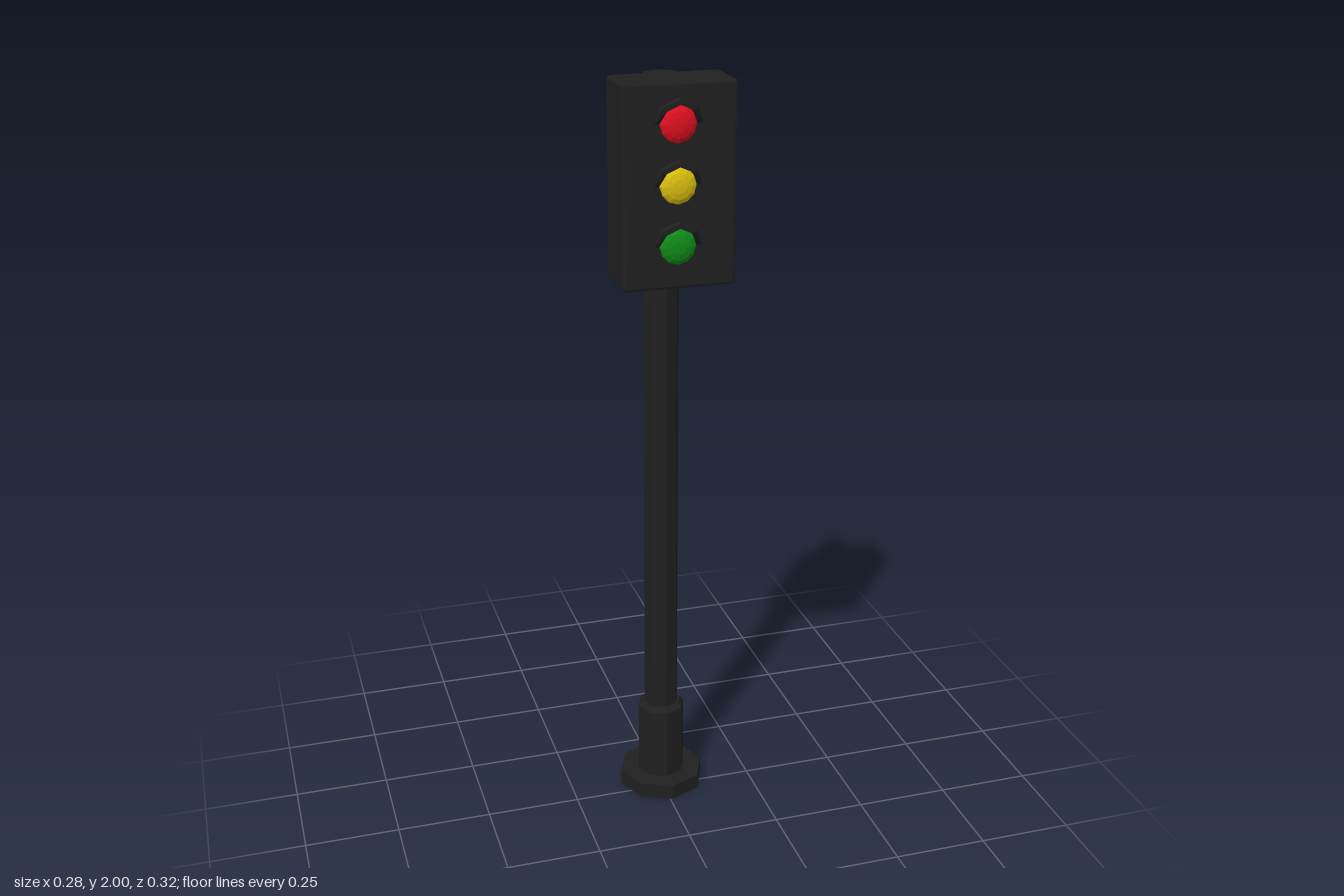
import * as THREE from 'three';
import { RoundedBoxGeometry } from 'three/addons/geometries/RoundedBoxGeometry.js';

const paint = (color) => new THREE.MeshStandardMaterial({ color, flatShading: true });

export function createModel() {
  const model = new THREE.Group();
  const black = paint(0x202020);

  const add = (name, geometry, material, x, y, z) => {
    const mesh = new THREE.Mesh(geometry, material);
    mesh.name = name;
    mesh.position.set(x, y, z);
    model.add(mesh);
    return mesh;
  };

  // Octagonal post parts share one axis
  const postPart = (name, y0, y1, bottomRadius, topRadius = bottomRadius) =>
    add(name, new THREE.CylinderGeometry(topRadius, bottomRadius, y1 - y0, 8),
      black, 0.007, (y0 + y1) / 2, -0.045);

  postPart('basePlate', 0, 0.042, 0.117);
  postPart('sleeve', 0.042, 0.245, 0.065);
  postPart('sleeveCollar', 0.245, 0.257, 0.065, 0.054);
  postPart('pole', 0.257, 1.99, 0.047);

  // Signal box with narrow chamfers
  add('housing', new RoundedBoxGeometry(0.283, 0.495, 0.14, 1, 0.007), black, 0, 1.7525, 0.07);

  // Octagonal rim whose upper half is drawn forward into a visor
  const octagon = (radius) => Array.from({ length: 8 }, (_, i) => {
    const a = (i / 8) * Math.PI * 2;
    return new THREE.Vector2(Math.cos(a) * radius, Math.sin(a) * radius);
  });
  const ring = new THREE.Shape(octagon(0.06));
  ring.holes.push(new THREE.Path(octagon(0.047)));
  const visor = new THREE.ExtrudeGeometry(ring, { depth: 1, bevelEnabled: false });
  const p = visor.attributes.position;
  for (let i = 0; i < p.count; i++) {
    const rise = THREE.MathUtils.clamp(p.getY(i) / 0.033, 0, 1);
    p.setZ(i, p.getZ(i) * (0.002 + 0.018 * rise));
  }
  visor.computeVertexNormals();

  // Shallow domed lens facing +z
  const lens = new THREE.SphereGeometry(0.046, 12, 4, 0, Math.PI * 2, 0, Math.PI / 2);
  lens.rotateX(Math.PI / 2);
  lens.scale(1, 1, 0.4);

  const lamps = [['red', 0xe01020, 1.903], ['yellow', 0xdcc010, 1.758], ['green', 0x108c18, 1.611]];
  for (const [name, color, y] of lamps) {
    add(name + 'Visor', visor, black, -0.005, y, 0.1395);
    add(name + 'Lens', lens, paint(color), -0.005, y, 0.14);
  }
  return model;
}
